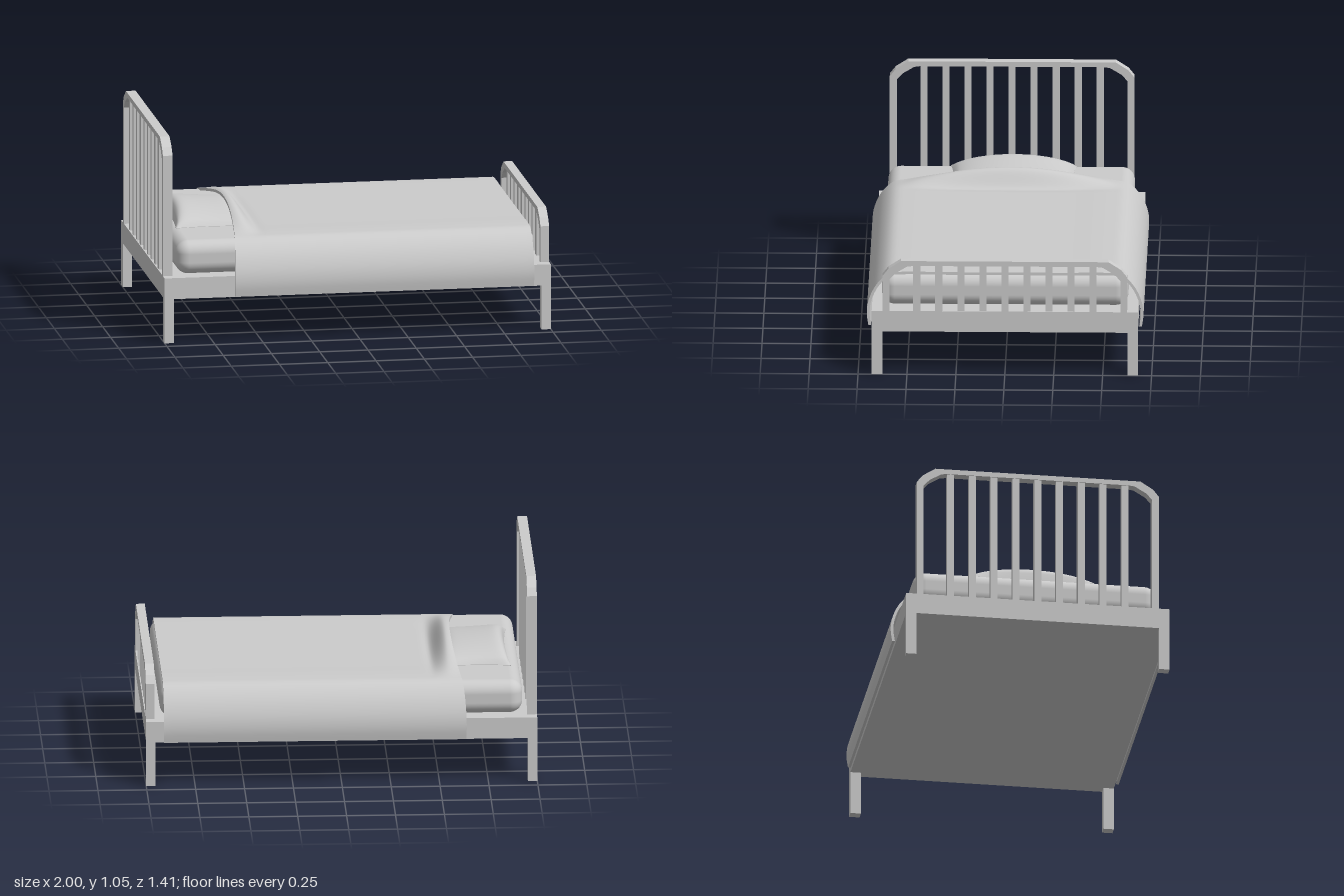
import * as THREE from 'three';
import { RoundedBoxGeometry } from 'three/addons/geometries/RoundedBoxGeometry.js';

const material = new THREE.MeshStandardMaterial({ color: 0xcccccc });

function add(parent, name, geometry, x = 0, y = 0, z = 0) {
  const mesh = new THREE.Mesh(geometry, material);
  mesh.name = name;
  mesh.position.set(x, y, z);
  parent.add(mesh);
  return mesh;
}

// Moves every vertex of a finely divided 2 x 2 x 2 box by a rule
function shapedBox(nx, nz, rule) {
  const geometry = new THREE.BoxGeometry(2, 2, 2, nx, 1, nz);
  const pos = geometry.attributes.position;
  for (let i = 0; i < pos.count; i++) {
    pos.setXYZ(i, ...rule(pos.getX(i), pos.getY(i), pos.getZ(i)));
  }
  geometry.computeVertexNormals();
  return geometry;
}

// Arched end board with vertical slats, standing on the base
function endBoard(name, x, top, depth) {
  const board = new THREE.Group();
  board.name = name;
  const bottom = 0.335;
  const outer = [[0.625, bottom], [0.625, top - 0.08], [0.595, top - 0.042], [0.53, top]];
  const inner = [[0.59, bottom], [0.59, top - 0.1], [0.56, top - 0.066], [0.5, top - 0.03], [0.47, top - 0.026]];
  const mirror = (points) => points.map(([z, y]) => [-z, y]).reverse();
  const outline = [...outer, ...mirror(outer), ...mirror(inner).reverse(), ...inner.slice().reverse()];
  const shape = new THREE.Shape(outline.map(([z, y]) => new THREE.Vector2(z, y)));
  const frame = new THREE.ExtrudeGeometry(shape, { depth, bevelEnabled: false });
  frame.rotateY(Math.PI / 2);
  add(board, name + 'Frame', frame, x - depth / 2);
  const height = top - 0.02 - bottom;
  for (let i = -4; i <= 4; i++) {
    add(board, name + 'Slat', new THREE.BoxGeometry(depth * 0.8, height, 0.036), x, bottom + height / 2, i * 0.1125);
  }
  return board;
}

// Cushion with pinched corners, highest near the head end
function pillowGeometry() {
  return shapedBox(40, 40, (u, side, v) => {
    const x = -0.7 + 0.18 * u * (1 - 0.1 * (1 - v * v));
    const z = -0.012 + 0.322 * v * (1 - 0.05 * (1 - u * u));
    const rise = Math.pow(Math.max(0, 1 - Math.pow(Math.abs(u), 8)), 0.6);
    const puff = rise * Math.pow(1 - v * v, 0.6) * (0.075 - 0.015 * u);
    return [x, 0.512 + (side > 0 ? 0.004 + puff : -0.012), z];
  });
}

// Draped cover: a cross-section swept along the bed, humped over the pillow end
function blanketGeometry() {
  const half = [[0.3, 0.514], [0.52, 0.515], [0.59, 0.507], [0.65, 0.452], [0.69, 0.37], [0.7, 0.3], [0.692, 0.235]];
  const points = [...half.map(([z, y]) => [-z, y]).reverse(), [0, 0.514], ...half];
  const curve = new THREE.CatmullRomCurve3(points.map(([z, y]) => new THREE.Vector3(0, y, z)));
  return shapedBox(70, 90, (u, side, v) => {
    const t = (v + 1) / 2;
    const p = curve.getPointAt(t);
    const tangent = curve.getTangentAt(t);
    const start = -0.638 + 0.056 * Math.max(0, 1 - (p.z / 0.7) ** 2);
    const x = start + (0.91 - start) * Math.pow((u + 1) / 2, 1.6);
    const across = Math.pow(Math.max(0, 1 - (p.z / 0.57) ** 2), 1.2);
    const along = (1 - THREE.MathUtils.smoothstep(x, -0.56, -0.47)) * (1 - 0.3 * THREE.MathUtils.smoothstep(-x, 0.565, 0.63));
    const crease = 0.004 * Math.exp(-(((x + 0.465) / 0.02) ** 2));
    const offset = side * 0.007;
    return [x, p.y + tangent.z * offset + across * (0.088 * along - crease), p.z - tangent.y * offset];
  });
}

export function createModel() {
  const bed = new THREE.Group();
  bed.name = 'bed';

  // Base and legs
  add(bed, 'base', new THREE.BoxGeometry(2, 0.11, 1.36), 0, 0.285, 0);
  for (const sx of [-1, 1]) {
    for (const sz of [-1, 1]) {
      add(bed, 'leg', new THREE.BoxGeometry(0.048, 0.235, 0.054), sx * 0.976, 0.1175, sz * 0.653);
    }
  }

  // End boards
  bed.add(endBoard('headboard', -0.975, 1.05, 0.05));
  bed.add(endBoard('footboard', 0.9775, 0.608, 0.045));

  // Bedding
  add(bed, 'mattress', new RoundedBoxGeometry(1.855, 0.175, 1.26, 6, 0.065), 0, 0.4265, 0);
  add(bed, 'pillow', pillowGeometry());
  add(bed, 'blanket', blanketGeometry());
  return bed;
}
